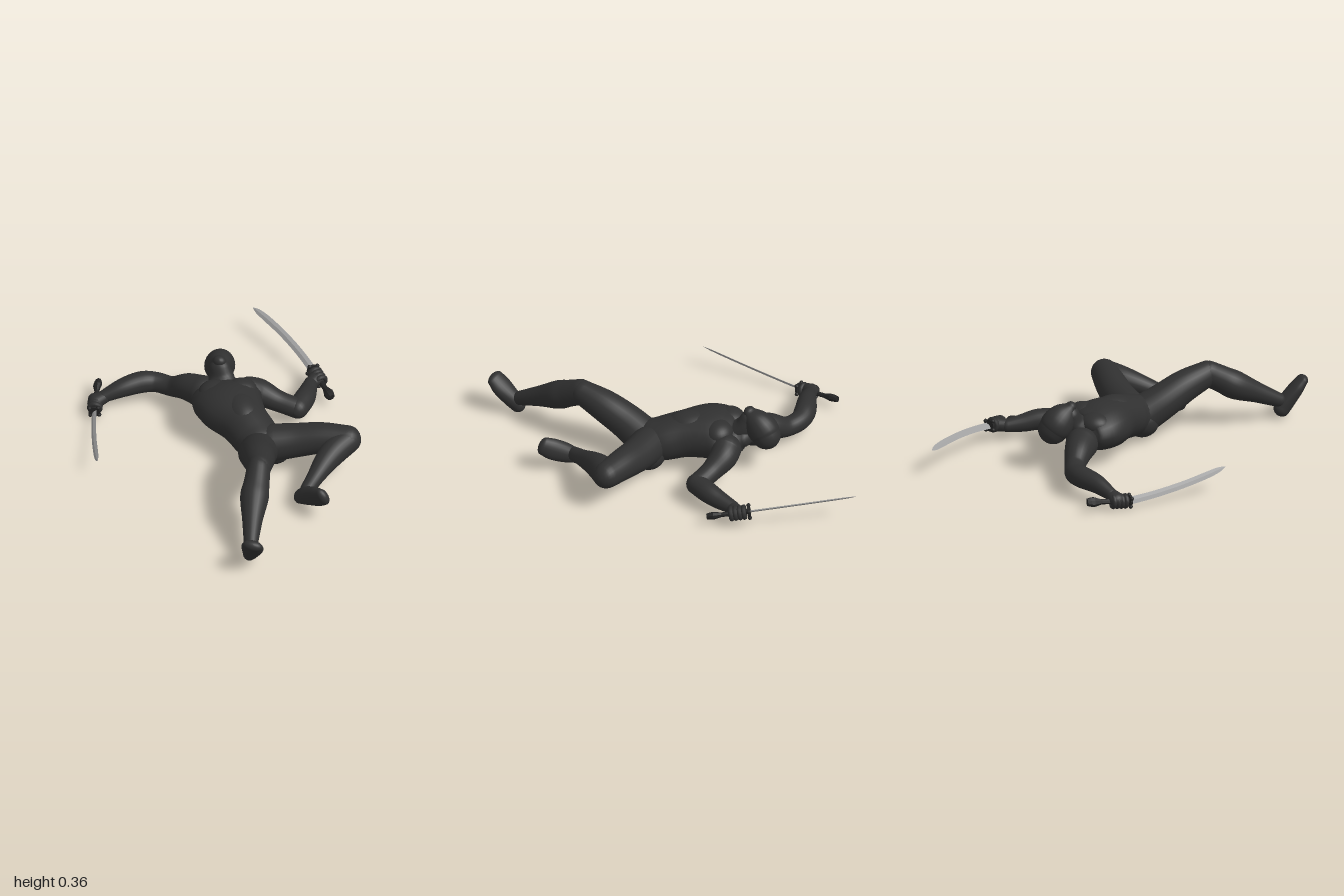
import * as THREE from 'three';

const suit = new THREE.MeshStandardMaterial({ color: 0x303030 });
suit.name = 'charcoal suit';
const hilt = new THREE.MeshStandardMaterial({ color: 0x242424 });
hilt.name = 'black hilt';
const steel = new THREE.MeshStandardMaterial({ color: 0xa0a0a0 });
steel.name = 'steel';

const V = (x, y, z) => new THREE.Vector3(x, y, z);

// Smooth skin through elliptical sections [x, y, z, halfWidth, halfDepth]; rounded ends
function loft(sections, side = V(1, 0, 0), { seg = 24, steps = 6, round = true, flat = false } = {}) {
  const path = new THREE.CatmullRomCurve3(sections.map(s => V(s[0], s[1], s[2])), false, 'catmullrom', 0.5);
  const size = new THREE.CatmullRomCurve3(sections.map(s => V(s[3], s[4] ?? s[3], 0)), false, 'catmullrom', 0.5);
  const rings = [];
  const add = (t, scale, shift) => {
    const T = path.getTangent(t), r = size.getPoint(t);
    const S = side.clone().addScaledVector(T, -side.dot(T)).normalize();
    const U = T.clone().cross(S);
    const c = path.getPoint(t).addScaledVector(T, shift * Math.min(r.x, r.y));
    rings.push({ c, S, U, w: r.x * scale, h: r.y * scale });
  };
  const caps = round ? 6 : 1;
  for (let i = 0; i < caps; i++) {
    const a = (i / caps) * Math.PI / 2;
    add(0, Math.sin(a), round ? -Math.cos(a) : 0);
  }
  const n = (sections.length - 1) * steps;
  for (let i = 0; i <= n; i++) add(i / n, 1, 0);
  for (let i = 1; i <= caps; i++) {
    const a = (i / caps) * Math.PI / 2;
    add(1, Math.cos(a), round ? Math.sin(a) : 0);
  }
  const pos = [], idx = [];
  rings.forEach(({ c, S, U, w, h }, j) => {
    for (let i = 0; i < seg; i++) {
      const a = (i / seg) * Math.PI * 2;
      const p = c.clone().addScaledVector(S, Math.cos(a) * w).addScaledVector(U, Math.sin(a) * h);
      pos.push(p.x, p.y, p.z);
      if (j < rings.length - 1) {
        const k = (i + 1) % seg, A = j * seg, B = A + seg;
        idx.push(A + i, A + k, B + i, A + k, B + k, B + i);
      }
    }
  });
  let g = new THREE.BufferGeometry();
  g.setAttribute('position', new THREE.Float32BufferAttribute(pos, 3));
  g.setIndex(idx);
  if (flat) g = g.toNonIndexed();
  g.computeVertexNormals();
  return g;
}

function mesh(parent, name, geometry, material) {
  const m = new THREE.Mesh(geometry, material);
  m.name = name;
  parent.add(m);
  return m;
}

// Flattened muscle mass
function muscle(parent, name, center, radii, turn = 0) {
  const m = mesh(parent, name, new THREE.SphereGeometry(1, 28, 20), suit);
  m.position.set(...center);
  m.scale.set(...radii);
  m.rotation.y = turn;
}

// Curved sword plus the fingers closed around its grip
function sword(name, pommel, guard, tip, wide, bulge) {
  const g = new THREE.Group();
  g.name = name;
  const blade = new THREE.QuadraticBezierCurve3(guard,
    guard.clone().lerp(tip, 0.5).addScaledVector(wide, bulge * 2), tip);
  const sections = [0, 0.2, 0.4, 0.6, 0.8, 0.93, 1].map(t => {
    const w = t === 1 ? 0.001 : t > 0.9 ? 0.013 : 0.02 - 0.003 * t;
    return [...blade.getPoint(t).toArray(), w, w * 0.26];
  });
  mesh(g, 'blade', loft(sections, wide, { seg: 4, steps: 3, round: false, flat: true }), steel);

  const hold = new THREE.Group();
  hold.name = 'grip and fingers';
  const Z = guard.clone().sub(pommel), L = Z.length();
  Z.normalize();
  const X = wide.clone().addScaledVector(Z, -wide.dot(Z)).normalize();
  hold.quaternion.setFromRotationMatrix(new THREE.Matrix4().makeBasis(X, Z.clone().cross(X), Z));
  hold.position.copy(guard);
  g.add(hold);
  mesh(hold, 'grip', loft([[0, 0, -L, 0.02, 0.015], [0, 0, -L * 0.84, 0.027, 0.02], [0, 0, -L * 0.66, 0.014, 0.012],
    [0, 0, -L * 0.3, 0.015, 0.013], [0, 0, 0, 0.015, 0.013]], V(1, 0, 0),
    { seg: 8, steps: 2, round: false, flat: true }), hilt);
  const disc = mesh(hold, 'guard', new THREE.CylinderGeometry(0.03, 0.03, 0.012, 12), hilt);
  disc.rotation.x = Math.PI / 2;
  for (let i = 0; i < 4; i++) {
    const a = i * Math.PI / 2;
    const knob = mesh(hold, 'guardKnob', new THREE.SphereGeometry(0.011, 8, 6), hilt);
    knob.position.set(Math.cos(a) * 0.032, Math.sin(a) * 0.032, 0);
  }
  for (let i = 0; i < 4; i++) {
    const finger = mesh(hold, 'finger', new THREE.TorusGeometry(0.028, 0.0125, 8, 18), suit);
    finger.position.z = -0.026 - i * 0.022;
  }
  return g;
}

export function createModel() {
  const model = new THREE.Group();
  model.name = 'swordFighter';
  const body = new THREE.Group();
  body.name = 'body';
  model.add(body);
  const across = V(0.77, 0, -0.63);
  const part = (name, sections, side) => mesh(body, name, loft(sections, side), suit);

  // Torso, neck and masked head
  part('torso', [
    [-0.065, 0.188, -0.262, 0.09, 0.058], [-0.045, 0.175, -0.228, 0.155, 0.084],
    [-0.015, 0.176, -0.175, 0.18, 0.108], [0.035, 0.178, -0.11, 0.172, 0.12],
    [0.13, 0.166, -0.025, 0.13, 0.117], [0.215, 0.143, 0.05, 0.122, 0.11],
    [0.255, 0.13, 0.11, 0.1, 0.1], [0.275, 0.125, 0.135, 0.06, 0.07]], across);
  muscle(body, 'rightPectoral', [-0.07, 0.222, -0.155], [0.085, 0.058, 0.08], 0.6);
  muscle(body, 'leftPectoral', [0.055, 0.228, -0.2], [0.085, 0.062, 0.075], 0.6);
  muscle(body, 'abdomen', [0.1, 0.218, -0.055], [0.09, 0.08, 0.14], 0.68);
  muscle(body, 'rightGlute', [0.23, 0.105, 0.12], [0.085, 0.087, 0.09]);
  muscle(body, 'leftGlute', [0.31, 0.105, 0.045], [0.09, 0.09, 0.085]);
  part('neck', [[-0.05, 0.185, -0.22, 0.085, 0.065], [-0.07, 0.235, -0.268, 0.068, 0.055],
    [-0.085, 0.285, -0.285, 0.054, 0.046]]);
  part('head', [
    [-0.085, 0.326, -0.283, 0.033, 0.028], [-0.091, 0.298, -0.308, 0.057, 0.062],
    [-0.1, 0.265, -0.337, 0.074, 0.08], [-0.108, 0.235, -0.362, 0.079, 0.083],
    [-0.11, 0.214, -0.378, 0.073, 0.077]]);

  // Right leg, knee raised and foot thrust forward
  part('rightThigh', [
    [0.255, 0.13, 0.13, 0.1], [0.282, 0.19, 0.24, 0.092], [0.322, 0.248, 0.35, 0.083],
    [0.362, 0.292, 0.47, 0.062, 0.068]]);
  part('rightShin', [
    [0.362, 0.293, 0.475, 0.06, 0.067], [0.374, 0.252, 0.55, 0.066, 0.069], [0.384, 0.212, 0.62, 0.073],
    [0.408, 0.158, 0.73, 0.053], [0.436, 0.1, 0.845, 0.037]]);
  part('rightFoot', [
    [0.436, 0.048, 0.86, 0.037, 0.042], [0.45, 0.082, 0.885, 0.046, 0.044],
    [0.473, 0.143, 0.938, 0.057, 0.037], [0.486, 0.184, 0.973, 0.05, 0.028]]);

  // Left leg, swung out and folded back
  part('leftThigh', [
    [0.3, 0.14, 0.06, 0.098], [0.42, 0.158, 0.025, 0.088], [0.55, 0.183, -0.002, 0.08],
    [0.68, 0.194, -0.018, 0.07]], V(0, 0, 1));
  part('leftShin', [
    [0.684, 0.19, -0.015, 0.068], [0.642, 0.17, 0.06, 0.069], [0.614, 0.147, 0.14, 0.06],
    [0.59, 0.115, 0.24, 0.044], [0.573, 0.092, 0.32, 0.037]]);
  part('leftFoot', [
    [0.55, 0.06, 0.34, 0.038, 0.046], [0.59, 0.086, 0.363, 0.051, 0.043],
    [0.648, 0.12, 0.398, 0.056, 0.036], [0.688, 0.147, 0.425, 0.048, 0.028]], V(0.5, -0.85, 0));

  // Right arm, stretched out to the side
  part('rightArm', [
    [-0.16, 0.15, -0.235, 0.084], [-0.25, 0.137, -0.265, 0.07], [-0.34, 0.1, -0.292, 0.052],
    [-0.43, 0.1, -0.302, 0.052], [-0.5, 0.105, -0.272, 0.056], [-0.58, 0.097, -0.207, 0.048],
    [-0.66, 0.07, -0.145, 0.032]], V(0, 1, 0));
  part('rightPalm', [[-0.65, 0.07, -0.15, 0.032], [-0.695, 0.052, -0.118, 0.037, 0.044]], V(0, 1, 0));

  // Left arm, bent at the elbow with the forearm overhead
  part('leftUpperArm', [
    [0.08, 0.172, -0.275, 0.08], [0.13, 0.156, -0.302, 0.071], [0.22, 0.122, -0.308, 0.055],
    [0.32, 0.098, -0.31, 0.053]], V(0, 1, 0));
  part('leftForearm', [
    [0.325, 0.098, -0.31, 0.054], [0.332, 0.095, -0.4, 0.054], [0.325, 0.082, -0.48, 0.046],
    [0.315, 0.075, -0.56, 0.034]]);
  part('leftPalm', [[0.318, 0.075, -0.56, 0.033], [0.332, 0.078, -0.602, 0.043, 0.036]]);

  // Paired swords
  model.add(sword('rightSword', V(-0.73, 0.06, -0.275), V(-0.68, 0.038, -0.05),
    V(-0.503, 0.13, 0.46), V(0.32, 0.46, -0.19).normalize(), -0.015));
  model.add(sword('leftSword', V(0.445, 0.055, -0.5), V(0.295, 0.088, -0.655),
    V(-0.13, 0.138, -1), V(0.45, 0.52, -0.56).normalize(), 0.018));
  return model;
}
